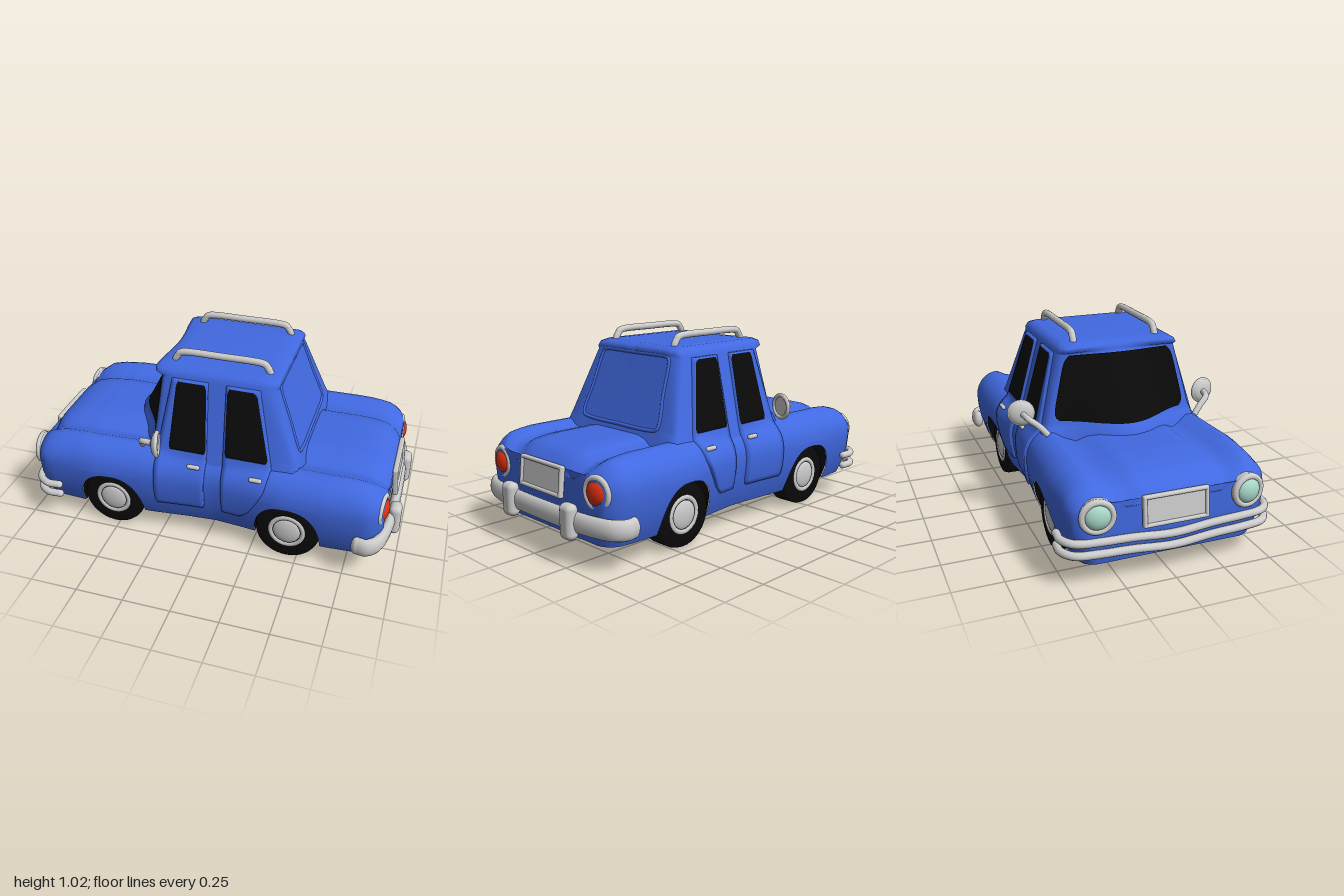
import * as THREE from 'three';
import { RoundedBoxGeometry } from 'three/addons/geometries/RoundedBoxGeometry.js';

const mat = (color, side = THREE.FrontSide) => new THREE.MeshStandardMaterial({ color, side });
const BLUE = mat(0x4169e1, THREE.DoubleSide), BLACK = mat(0x0a0a0a, THREE.DoubleSide);
const GREY = mat(0xcccccc), RED = mat(0xe03010), GLASS = mat(0xa8d8c8);
const { lerp, clamp } = THREE.MathUtils;

function add(parent, name, geometry, material, x = 0, y = 0, z = 0) {
  const m = new THREE.Mesh(geometry, material);
  m.name = name;
  m.position.set(x, y, z);
  parent.add(m);
  return m;
}

// Column c of a table of rows, interpolated by the rows' first column
function look(table, v, c = 1) {
  let i = 0;
  while (i < table.length - 2 && v > table[i + 1][0]) i++;
  const a = table[i], b = table[i + 1];
  return lerp(a[c], b[c], clamp((v - a[0]) / (b[0] - a[0]), 0, 1));
}

// Surface from a rule point(i, j)
function grid(nu, nv, point, skip = () => false) {
  const pos = [], idx = [];
  for (let i = 0; i <= nu; i++) for (let j = 0; j <= nv; j++) pos.push(...point(i, j));
  for (let i = 0; i < nu; i++) for (let j = 0; j < nv; j++) {
    if (skip(i, j)) continue;
    const a = i * (nv + 1) + j, b = a + nv + 1;
    idx.push(a, b, b + 1, a, b + 1, a + 1);
  }
  const g = new THREE.BufferGeometry();
  g.setAttribute('position', new THREE.Float32BufferAttribute(pos, 3));
  g.setIndex(idx);
  g.computeVertexNormals();
  return g;
}

const tube = (pts, r, closed = false, tension = 0.5, n = 64) => new THREE.TubeGeometry(
  new THREE.CatmullRomCurve3(pts.map(p => new THREE.Vector3(...p)), closed, 'catmullrom', tension), n, r, 12, closed);

// Lower body: half width and top height along x
const WIDTH = [[-0.955, 0.43], [-0.93, 0.475], [-0.88, 0.502], [-0.6, 0.518], [-0.3, 0.5], [-0.1, 0.478],
  [0.05, 0.468], [0.2, 0.482], [0.4, 0.51], [0.65, 0.515], [0.82, 0.505], [0.88, 0.485], [0.925, 0.43]];
const TOP = [[-0.955, 0.42], [-0.93, 0.455], [-0.88, 0.49], [-0.8, 0.511], [-0.68, 0.522],
  [0.75, 0.522], [0.83, 0.51], [0.88, 0.49], [0.925, 0.44]];
const AXLES = [-0.52, 0.445], ARCH = 0.174;

function bottomY(x) {
  for (const a of AXLES) {
    const d = Math.abs(x - a) / ARCH;
    if (d < 1) return 0.11 + 0.235 * (1 - d ** 2.5) ** 0.4;
  }
  return 0.11;
}
const lowerZ = (x, y) => look(WIDTH, x) * (1 - 0.12 * (Math.max(0, 0.37 - y) / 0.26) ** 2);

// Half section, k = 0 at the sill to 22 on the centre line
function bodySection(x, k) {
  const H = look(TOP, x), ys = Math.min(0.37, H - 0.07), W = look(WIDTH, x), zf = W * 0.74;
  if (k <= 8) {
    const y = lerp(bottomY(x), ys, k / 8);
    return [y, lowerZ(x, y)];
  }
  if (k <= 15) {
    const a = (k - 8) / 7 * Math.PI / 2;
    return [ys + (H - ys) * Math.sin(a), zf + (W - zf) * Math.cos(a)];
  }
  const s = (22 - k) / 7;
  return [H - 0.042 * Math.exp(-(((s - 0.75) / 0.16) ** 2)), zf * s];
}

// Cabin sections: y, front centre x, front corner x, rear x, half width
const CABIN = [[0.48, -0.5, -0.33, 0.49, 0.43], [0.545, -0.487, -0.31, 0.466, 0.411], [0.565, -0.455, -0.29, 0.457, 0.406],
  [0.9, -0.28, -0.262, 0.336, 0.32], [0.915, -0.282, -0.3, 0.343, 0.318], [0.938, -0.276, -0.3, 0.336, 0.306],
  [0.952, -0.255, -0.275, 0.3, 0.28], [0.956, -0.2, -0.21, 0.24, 0.22], [0.957, 0, 0, 0, 0]];
const frontX = (fc, fs, zs, z) => fs + (fc - fs) * Math.cos(Math.PI / 2 * clamp(z / (zs || 1), -1, 1)) ** 2.3;
function cabinLoop([y, fc, fs, xr, zs]) {
  const r = Math.min(0.025, zs * 0.3), pts = [];
  const side = (s, t) => [lerp(xr - r, fs + r, t), y, s * zs];
  for (let i = 0; i <= 4; i++) pts.push([xr, y, (zs - r) * i / 4]);
  for (let i = 0; i <= 8; i++) pts.push(side(1, i / 8));
  for (let i = 0; i <= 28; i++) { const z = (zs - r) * (1 - i / 14); pts.push([frontX(fc, fs, zs, z), y, z]); }
  for (let i = 0; i <= 8; i++) pts.push(side(-1, 1 - i / 8));
  for (let i = 0; i <= 4; i++) pts.push([xr, y, -(zs - r) * (1 - i / 4)]);
  return pts;
}

// Outer side of lower body and cabin together
function sideZ(x, y) {
  const W = look(WIDTH, x), zf = W * 0.74, q = clamp((y - 0.37) / 0.152, 0, 1);
  const body = y < 0.37 ? lowerZ(x, y) : q < 1 ? zf + (W - zf) * Math.sqrt(1 - q * q) : 0;
  return Math.max(body, y > 0.48 ? look(CABIN, y, 4) : 0);
}
// Raised panel on the side; rows are y, front x, rear x
function sidePanel(rows, off, inner) {
  const nu = 12, nv = 32, y0 = rows[0][0], y1 = rows[rows.length - 1][0];
  return grid(nu, nv, (i, j) => {
    const u = clamp((i - 1) / (nu - 2), 0, 1), y = lerp(y0, y1, clamp((j - 1) / (nv - 2), 0, 1));
    const x = lerp(look(rows, y, 1), look(rows, y, 2), u);
    const edge = i === 0 || j === 0 || i === nu || j === nv;
    return [x, y, sideZ(x, y) + (edge ? inner : off)];
  });
}

function buildShell(car) {
  // Stations crowd at the arch edges; the first and last ones close the ends
  const xs = [-0.93, -0.905, -0.88, -0.84, -0.8, -0.75].map(x => [x, 1]);
  for (const a of AXLES) {
    for (let i = 0; i <= 20; i++) xs.push([a - ARCH * Math.cos(Math.PI * i / 20), 1]);
    if (a < 0) for (let i = 1; i < 14; i++) xs.push([lerp(a + ARCH, AXLES[1] - ARCH, i / 14), 1]);
  }
  xs.push(...[0.66, 0.72, 0.78, 0.83, 0.86, 0.89].map(x => [x, 1]));
  xs.unshift([-0.955, 0], [-0.955, 0.6], [-0.955, 0.95], [-0.95, 1]);
  xs.push([0.915, 1], [0.925, 0.95], [0.925, 0.6], [0.925, 0]);
  const inCabin = (i, j) => xs[i][0] > -0.27 && xs[i + 1][0] < 0.42 && j >= 16 && j < 28;
  add(car, 'body', grid(xs.length - 1, 44, (i, j) => {
    const [x, s] = xs[i], [y, z] = bodySection(x, Math.min(j, 44 - j));
    // The lower edge tucks in at both ends
    const tuck = 0.025 * (Math.max(0, 0.3 - y) / 0.19) ** 2 * clamp((Math.abs(x) - 0.8) / 0.12, 0, 1);
    return [x - Math.sign(x) * tuck, y, z * s * (j <= 22 ? 1 : -1)];
  }, inCabin), BLUE);

  const loops = CABIN.map(cabinLoop);
  add(car, 'cabin', grid(loops.length - 1, loops[0].length - 1, (i, j) => loops[i][j]), BLUE);

  add(car, 'windshield', grid(20, 32, (i, j) => {
    const v = i / 20, y = lerp(0.572, 0.897, v), zs = look(CABIN, y, 4);
    const z = (j / 16 - 1) * zs * 0.9 * (1 - 0.09 * Math.abs(2 * v - 1) ** 8);
    return [frontX(look(CABIN, y, 1), look(CABIN, y, 2), zs, z) - 0.008, y, z];
  }), BLACK);

  // Rim around the rear panel
  const rim = [[0.56, 0.28], [0.72, 0.268], [0.87, 0.255], [0.905, 0.225], [0.905, 0], [0.905, -0.225],
    [0.87, -0.255], [0.72, -0.268], [0.56, -0.28], [0.55, 0]].map(([y, z]) => [look(CABIN, y, 3) - 0.003, y, z]);
  add(car, 'rearPanelRim', tube(rim, 0.01, true, 0.3, 100), BLUE);
}

function buildSide(car) {
  const side = new THREE.Group();
  side.name = 'leftSideParts';
  // Doors, windows and handles
  add(side, 'frontDoor', sidePanel([[0.225, -0.25, -0.005], [0.24, -0.26, 0.002], [0.52, -0.262, 0.005],
    [0.9, -0.2, -0.012]], 0.013, -0.02), BLUE);
  add(side, 'rearDoor', sidePanel([[0.225, 0.1, 0.2], [0.27, 0.098, 0.245], [0.35, 0.096, 0.29], [0.42, 0.095, 0.325],
    [0.52, 0.092, 0.345], [0.9, 0.083, 0.255]], 0.013, -0.02), BLUE);
  add(side, 'frontWindow', sidePanel([[0.54, -0.19, -0.008], [0.555, -0.197, 0], [0.87, -0.175, -0.018],
    [0.89, -0.165, -0.03]], 0.016, 0.005), BLACK);
  add(side, 'rearWindow', sidePanel([[0.545, 0.11, 0.315], [0.56, 0.102, 0.325], [0.87, 0.092, 0.245],
    [0.89, 0.102, 0.225]], 0.016, 0.005), BLACK);
  for (const x of [-0.055, 0.277]) {
    const h = add(side, 'doorHandle', new THREE.CapsuleGeometry(0.012, 0.045, 6, 12), GREY, x, 0.473, sideZ(x, 0.473) + 0.018);
    h.rotation.z = Math.PI / 2;
  }
  // Wheels in dark wells
  const spin = pts => new THREE.LatheGeometry(pts.map(p => new THREE.Vector2(...p)), 40).rotateX(Math.PI / 2);
  for (const a of AXLES) {
    add(side, 'wheelWell', grid(24, 2, (i, j) => {
      const x = a - ARCH * Math.cos(Math.PI * i / 24), y = bottomY(x);
      return j === 2 ? [a, 0.17, 0.37] : [x, y, j ? 0.37 : lowerZ(x, y) - 0.004];
    }), BLACK);
    const wheel = new THREE.Group();
    wheel.name = 'wheel';
    wheel.position.set(a, 0.17, 0);
    add(wheel, 'tyre', spin([[0, 0.335], [0.165, 0.335], [0.17, 0.345], [0.17, 0.435], [0.162, 0.455], [0.1, 0.458], [0, 0.458]]), BLACK);
    add(wheel, 'hubRing', new THREE.TorusGeometry(0.086, 0.014, 12, 40).scale(1, 1, 0.8), GREY, 0, 0, 0.453);
    add(wheel, 'hubCap', new THREE.SphereGeometry(0.078, 32, 16).scale(1, 1, 0.28), GREY, 0, 0, 0.449);
    side.add(wheel);
  }
  // Lamps
  for (const [name, x, dir, m] of [['headlight', -0.953, -1, GLASS], ['tailLight', 0.9, 1, RED]]) {
    const lamp = new THREE.Group();
    lamp.name = name;
    lamp.position.set(x, 0.365, 0.375);
    add(lamp, 'lampHousing', new THREE.CylinderGeometry(0.083, 0.083, 0.035, 32, 1, true).rotateZ(Math.PI / 2), GREY, -dir * 0.01);
    add(lamp, 'lampRing', new THREE.TorusGeometry(0.071, 0.016, 12, 40).rotateY(Math.PI / 2), GREY, dir * 0.008);
    add(lamp, 'lampLens', new THREE.SphereGeometry(0.064, 32, 10, 0, Math.PI * 2, 0, Math.PI / 2)
      .scale(1, 0.6, 1).rotateZ(-dir * Math.PI / 2), m, dir * 0.004);
    lamp.rotation.y = -dir * 0.12;
    side.add(lamp);
  }
  // Wing mirror
  add(side, 'mirrorArm', tube([[-0.35, 0.525, 0.405], [-0.335, 0.57, 0.445], [-0.312, 0.605, 0.49], [-0.256, 0.613, 0.503]], 0.016), GREY);
  const mirror = new THREE.Group();
  mirror.name = 'mirror';
  mirror.position.set(-0.228, 0.613, 0.507);
  add(mirror, 'mirrorShell', new THREE.SphereGeometry(0.066, 32, 12, 0, Math.PI * 2, 0, Math.PI / 2).scale(1, 0.45, 1).rotateZ(Math.PI / 2), GREY);
  add(mirror, 'mirrorRim', new THREE.TorusGeometry(0.059, 0.011, 10, 36).rotateY(Math.PI / 2), GREY);
  add(mirror, 'mirrorGlass', new THREE.CircleGeometry(0.06, 32).rotateY(Math.PI / 2), GREY, 0.002);
  mirror.rotation.y = 0.25;
  side.add(mirror);
  // Roof rail and rear overrider
  add(side, 'roofRail', tube([[-0.22, 0.945, 0.222], [-0.205, 0.975, 0.222], [-0.165, 1.0, 0.222], [0.03, 1.002, 0.222],
    [0.225, 1.0, 0.222], [0.265, 0.975, 0.222], [0.28, 0.945, 0.222]], 0.018), GREY);
  add(side, 'overrider', new RoundedBoxGeometry(0.065, 0.175, 0.09, 4, 0.03), GREY, 0.966, 0.213, 0.235);

  car.add(side);
  const other = side.clone();
  other.name = 'rightSideParts';
  other.scale.z = -1;
  car.add(other);
}

function buildEnds(car) {
  // Bumper paths run from one flank round to the other
  const wrap = half => [...half, ...half.slice(0, -1).reverse().map(([x, y, z]) => [x, y, -z])];
  for (const y of [0.238, 0.178]) {
    add(car, 'frontBumperBar', tube(wrap([[-0.81, y, 0.52], [-0.88, y, 0.52], [-0.94, y, 0.47], [-0.96, y, 0.36],
      [-0.962, y - 0.006, 0.2], [-0.962, y - 0.022, 0]]), 0.02), GREY);
    for (const s of [-1, 1]) add(car, 'bumperTip', new THREE.SphereGeometry(0.02, 16, 12), GREY, -0.81, y, s * 0.52);
  }
  const rear = wrap([[0.81, 0, 0.508], [0.86, 0, 0.51], [0.91, 0, 0.46], [0.94, 0, 0.33], [0.95, 0, 0.15], [0.952, 0, 0]]);
  add(car, 'rearBumper', tube(rear, 0.028).scale(1, 1.85, 1), GREY, 0, 0.212, 0);
  for (const s of [-1, 1]) add(car, 'bumperTip', new THREE.SphereGeometry(0.028, 16, 12).scale(1, 1.85, 1), GREY, 0.81, 0.212, s * 0.508);

  // Plates with raised frames
  for (const [name, x, y, dir] of [['frontPlate', -0.968, 0.355, -1], ['rearPlate', 0.938, 0.375, 1]]) {
    const plate = new THREE.Group();
    plate.name = name;
    plate.position.set(x, y, 0);
    plate.rotation.z = dir * 0.1;
    add(plate, 'plate', new THREE.BoxGeometry(0.014, 0.14, 0.31), GREY);
    for (const s of [-1, 1]) {
      add(plate, 'frameBar', new RoundedBoxGeometry(0.028, 0.02, 0.33, 3, 0.009), GREY, dir * 0.004, s * 0.067, 0);
      add(plate, 'framePost', new RoundedBoxGeometry(0.028, 0.15, 0.02, 3, 0.009), GREY, dir * 0.004, 0, s * 0.155);
    }
    car.add(plate);
  }
}

export function createModel() {
  const car = new THREE.Group();
  car.name = 'car';
  buildShell(car);
  buildSide(car);
  buildEnds(car);
  return car;
}
